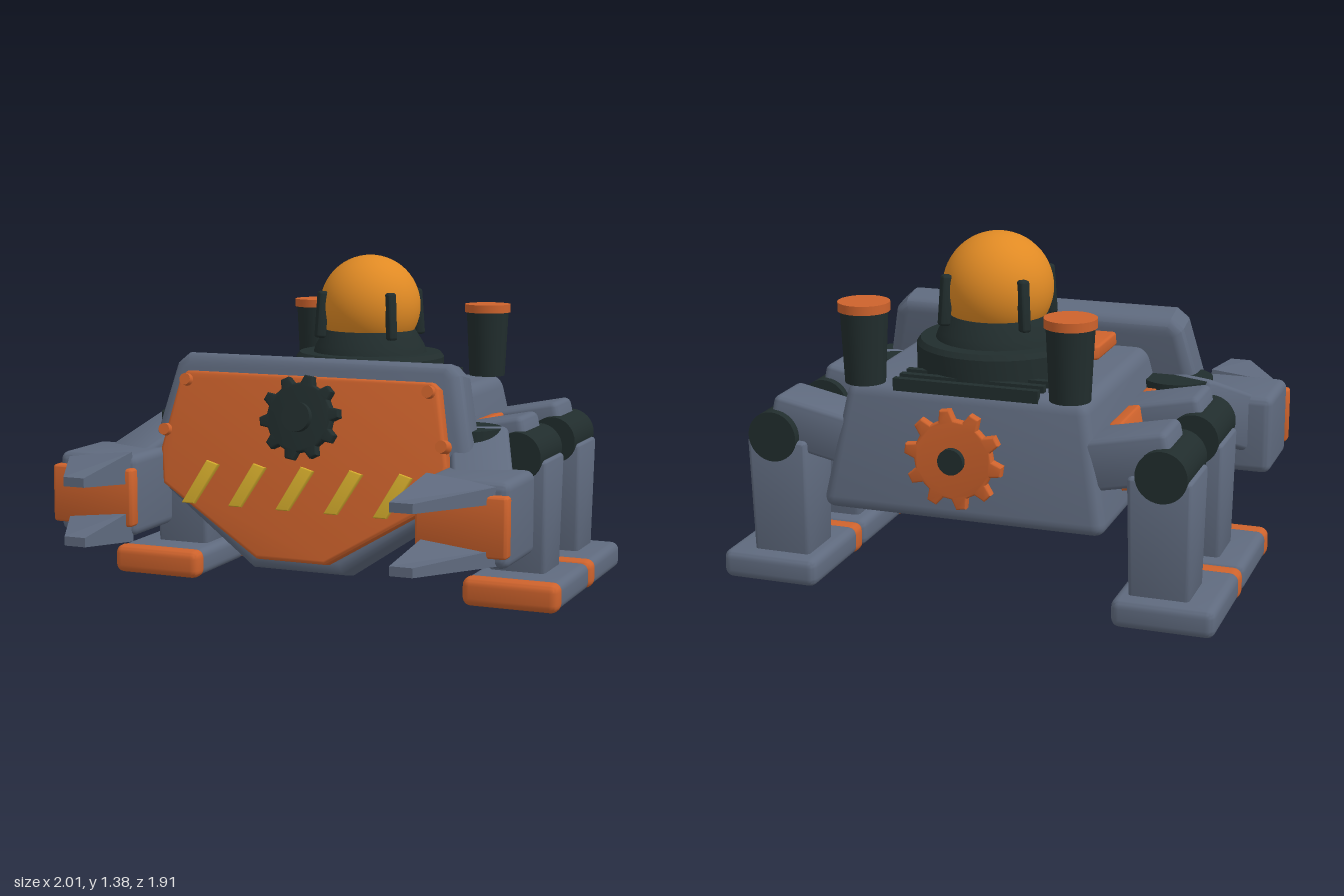
import * as THREE from 'three';
import { toCreasedNormals } from 'three/addons/utils/BufferGeometryUtils.js';
import { RoundedBoxGeometry } from 'three/addons/geometries/RoundedBoxGeometry.js';

const paint = (name, color) => {
  const m = new THREE.MeshStandardMaterial({ color });
  m.name = name;
  return m;
};

// Rounded box whose top face is scaled by (topX, topZ)
function block(w, h, d, r = 0.03, topX = 1, topZ = 1) {
  const g = new RoundedBoxGeometry(w, h, d, 3, r);
  const p = g.attributes.position;
  for (let i = 0; i < p.count; i++) {
    const t = p.getY(i) / h + 0.5;
    p.setX(i, p.getX(i) * THREE.MathUtils.lerp(1, topX, t));
    p.setZ(i, p.getZ(i) * THREE.MathUtils.lerp(1, topZ, t));
  }
  return toCreasedNormals(g, 0.6);
}

// Polygon slab between two z planes, with a rounded edge
function slab(points, z0, z1, bevel) {
  const shape = new THREE.Shape(points.map(([x, y]) => new THREE.Vector2(x, y)));
  const g = new THREE.ExtrudeGeometry(shape, {
    depth: z1 - z0 - 2 * bevel, bevelEnabled: true, bevelThickness: bevel,
    bevelSize: bevel, bevelOffset: -bevel, bevelSegments: 3,
  });
  g.translate(0, 0, z0 + bevel);
  return toCreasedNormals(g, 0.6);
}

// Right half of an outline, completed by mirroring
const mirrored = (half) => [...half, ...half.slice().reverse().map(([x, y]) => [-x, y])];

function gear(teeth, root, tip, z0, z1) {
  const pts = [];
  for (let i = 0; i < teeth; i++) {
    for (const [f, r] of [[-0.32, root], [-0.16, tip], [0.16, tip], [0.32, root]]) {
      const a = ((i + f) / teeth) * Math.PI * 2 + 0.15;
      pts.push([Math.cos(a) * r, Math.sin(a) * r]);
    }
  }
  return slab(pts, z0, z1, 0.008);
}

// Claw finger: straight inner edge, tapering outer edge
function finger(s) {
  const g = new THREE.BoxGeometry(0.29, 0.13, 0.38).toNonIndexed();
  const p = g.attributes.position;
  const { lerp } = THREE.MathUtils;
  for (let i = 0; i < p.count; i++) {
    const t = p.getZ(i) / 0.38 + 0.5;
    const o = (s * p.getX(i)) / 0.29 + 0.5;
    p.setX(i, s * (0.63 + o * lerp(0.29, 0.09, t)));
    p.setY(i, p.getY(i) * lerp(lerp(1, 0.5, o), 0.28, t));
  }
  g.computeVertexNormals();
  return g;
}

export function createModel() {
  const root = new THREE.Group();
  root.name = 'walkerRobot';
  const grey = paint('slateGrey', 0x5f6a7e);
  const orange = paint('burntOrange', 0xcd622c);
  const dark = paint('darkMetal', 0x212d2d);
  const amber = paint('amberGlass', 0xe08a24);
  const yellow = paint('hazardYellow', 0xd3ab2c);

  const add = (name, geo, mat, pos = [0, 0, 0], rot = [0, 0, 0], parent = root) => {
    const m = new THREE.Mesh(geo, mat);
    m.name = name;
    m.position.set(...pos);
    m.rotation.set(...rot);
    parent.add(m);
    return m;
  };
  const cyl = (rt, rb, h) => new THREE.CylinderGeometry(rt, rb, h, 32);
  const Q = Math.PI / 2;

  // Hull, top hatch, vents and belly bar
  add('hull', block(1.15, 0.5, 1.08, 0.05, 0.83, 0.87), grey, [0, 0.59, -0.33]);
  add('topHatch', slab(mirrored([[0.35, -0.08], [0.35, 0.2], [0.31, 0.24]]), 0, 0.06, 0.012),
    orange, [0, 0.84, 0], [-Q, 0, 0]);
  for (const z of [-0.64, -0.71, -0.78]) {
    add('vent', new THREE.BoxGeometry(0.58, 0.05, 0.03), dark, [0, 0.842, z]);
  }
  add('bellyBar', block(0.96, 0.14, 0.22, 0.04), dark, [0, 0.32, -0.32]);

  // Turret with dome
  const turret = [[0, 0], [0.32, 0], [0.32, 0.1], [0.305, 0.12], [0.245, 0.12], [0.235, 0.15],
    [0.195, 0.215], [0, 0.215]].map(([x, y]) => new THREE.Vector2(x, y));
  add('turretBase', toCreasedNormals(new THREE.LatheGeometry(turret, 40), 0.5), dark, [0, 0.845, -0.41]);
  add('dome', new THREE.SphereGeometry(0.217, 40, 28), amber, [0, 1.163, -0.41]);
  for (let i = 0; i < 4; i++) {
    const a = Math.PI / 4 + i * Q;
    const holder = new THREE.Group();
    holder.name = 'domeBracket';
    holder.position.set(0, 0, -0.41);
    holder.rotation.y = a;
    root.add(holder);
    add('bracketArm', block(0.04, 0.2, 0.045, 0.012), dark, [0, 1.13, 0.225], [-0.08, 0, 0], holder);
  }

  // Front shield, leaning back
  const shield = new THREE.Group();
  shield.name = 'frontShield';
  shield.position.set(0, 0.56, 0.2);
  shield.rotation.x = -0.22;
  root.add(shield);
  add('shieldBody', slab(mirrored([[0.2, -0.435], [0.71, -0.08], [0.71, 0.01], [0.625, 0.385], [0.575, 0.43]]),
    -0.09, 0.09, 0.045), grey, [0, 0, 0], [0, 0, 0], shield);
  add('shieldPlate', slab(mirrored([[0.15, -0.4], [0.6, -0.125], [0.625, 0.02], [0.565, 0.32], [0.535, 0.345]]),
    0.08, 0.15, 0.015), orange, [0, 0, 0], [0, 0, 0], shield);
  add('shieldGear', gear(10, 0.14, 0.172, 0.14, 0.19), dark, [0, 0.175, 0], [0, 0, 0], shield);
  add('shieldGearHub', cyl(0.06, 0.06, 0.08), dark, [0, 0.175, 0.18], [Q, 0, 0], shield);
  for (let i = -2; i <= 2; i++) {
    add('hazardStripe', slab([[-0.075, -0.09], [-0.02, -0.09], [0.075, 0.075], [0.02, 0.09]], 0.145, 0.172, 0.006),
      yellow, [i * 0.21, -0.11, 0], [0, 0, 0], shield);
  }
  for (const s of [-1, 1]) {
    for (const [x, y] of [[0.53, 0.305], [0.605, 0.095]]) {
      add('shieldBolt', cyl(0.024, 0.028, 0.05), orange, [s * x, y, 0.15], [Q, 0, 0], shield);
    }
  }

  // Rear gear wheel
  add('rearGear', gear(10, 0.155, 0.195, -0.93, -0.89), orange, [0, 0.61, 0]);
  add('rearGearHub', cyl(0.05, 0.05, 0.13), dark, [0, 0.61, -0.89], [Q, 0, 0]);

  for (const s of [-1, 1]) {
    // Side panel, hatch bolt and exhaust stack
    add('sidePanel', block(0.06, 0.27, 0.66, 0.012), orange, [s * 0.55, 0.57, -0.245], [0, 0, s * 0.18]);
    add('hatchBolt', cyl(0.02, 0.02, 0.03), orange, [s * 0.24, 0.905, -0.16]);
    add('exhaustStack', cyl(0.092, 0.078, 0.28), dark, [s * 0.41, 0.98, -0.775]);
    add('exhaustCap', cyl(0.1, 0.1, 0.035), orange, [s * 0.41, 1.137, -0.775]);

    // Arm
    add('shoulder', cyl(0.145, 0.145, 0.2), dark, [s * 0.605, 0.63, 0.06]);
    const upper = add('upperArm', block(0.24, 0.24, 0.46, 0.03), grey, [s * 0.715, 0.545, 0.2]);
    upper.lookAt(s * 0.79, 0.46, 0.39);
    add('forearm', block(0.35, 0.33, 0.34, 0.035), grey, [s * 0.785, 0.445, 0.42]);
    add('wristPlate', block(0.365, 0.235, 0.06, 0.015), orange, [s * 0.785, 0.445, 0.6]);
    add('upperFinger', finger(s), grey, [0, 0.56, 0.76], [0.005, 0, 0]);
    add('lowerFinger', finger(s), grey, [0, 0.325, 0.76], [-0.005, 0, 0]);

    // Two legs per side
    for (const z of [-0.215, -0.7]) {
      add('thigh', block(0.38, 0.2, 0.23, 0.03), grey, [s * 0.62, 0.625, z], [0, 0, s * 0.2]);
      add('knee', cyl(0.1, 0.1, 0.3), dark, [s * 0.78, 0.6, z], [Q, 0, 0]);
      add('shin', block(0.235, 0.5, 0.22, 0.018, 1.06, 1.2), grey, [s * 0.77, 0.335, z - 0.01]);
      add('foot', block(0.4, 0.115, 0.43, 0.035), grey, [s * 0.8, 0.06, z + 0.03]);
      add('toeCap', block(0.405, 0.12, 0.09, 0.035), orange, [s * 0.8, 0.06, z + 0.255]);
    }
  }
  return root;
}
